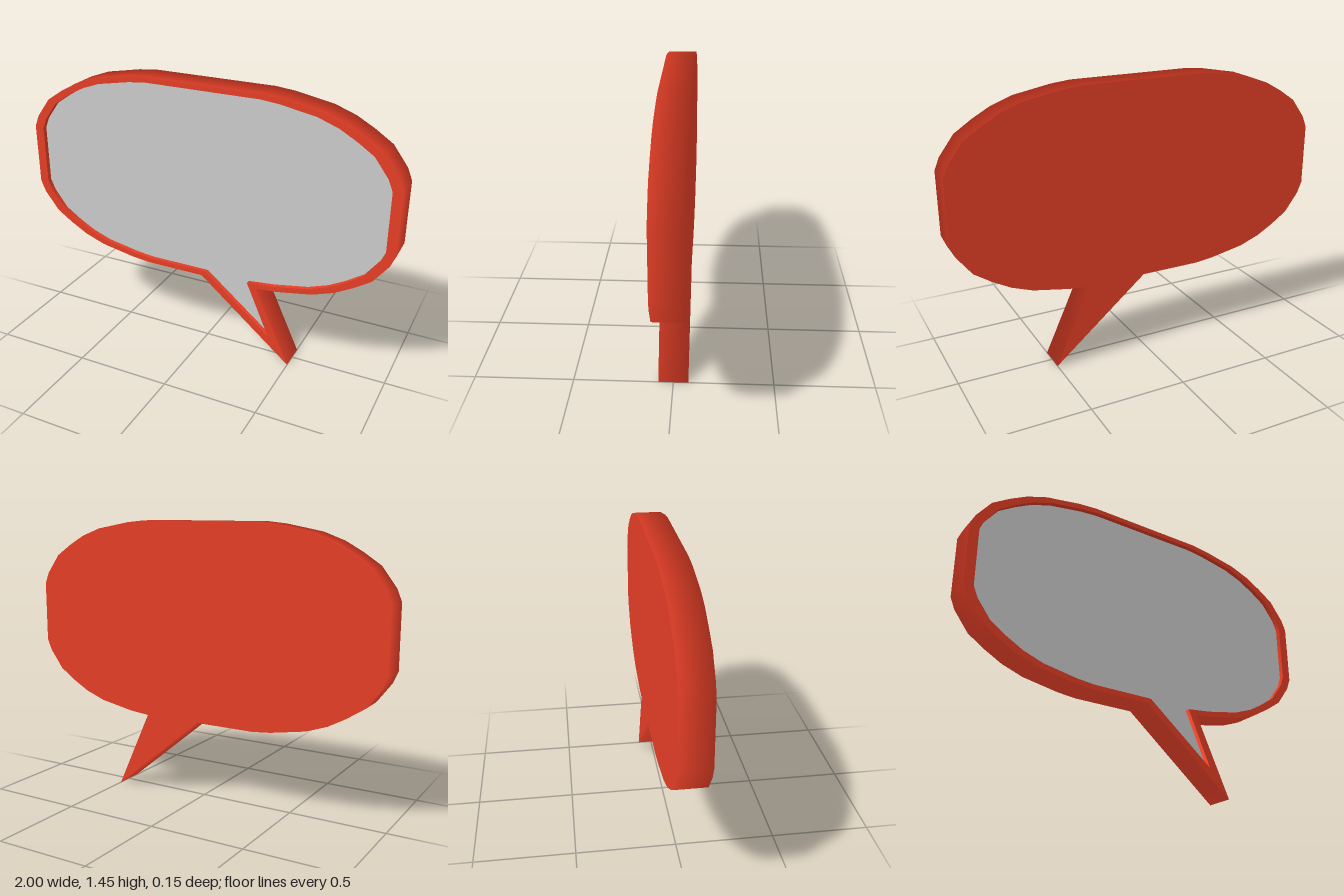
import * as THREE from 'three';
import { mergeGeometries } from 'three/addons/utils/BufferGeometryUtils.js';

const MID = 0.93, HALF_DEPTH = 0.075, RECESS = 0.025;

// One quarter of the rounded bubble, from the side to the top, about its middle
const quarter = [
  [1, 0.16], [0.975, 0.22], [0.9, 0.32], [0.81, 0.38],
  [0.72, 0.43], [0.61, 0.47], [0.42, 0.505], [0.32, 0.515],
];

// Full outline, counter-clockwise, with the pointed tail at the bottom
function outline(scale, tail) {
  const flip = (sx, sy) => quarter.map(([x, y]) => [x * sx * scale, y * sy * scale]);
  return [
    ...flip(1, 1),
    ...flip(-1, 1).reverse(),
    ...flip(-1, -1),
    ...tail,
    ...flip(1, -1).reverse().slice(1),
  ].map(([x, y]) => new THREE.Vector2(x, y + MID));
}

// A loop of points at depth z, its normals mixing outward and z directions
function ring(loop, z, outward, nz) {
  const n = loop.length;
  return loop.map((p, i) => {
    const a = loop[(i + n - 1) % n], b = loop[(i + 1) % n];
    const d1 = p.clone().sub(a).normalize(), d2 = b.clone().sub(p).normalize();
    const t = d1.add(d2).normalize();
    return {
      position: [p.x, p.y, z],
      normal: new THREE.Vector3(t.y * outward, -t.x * outward, nz).normalize().toArray(),
    };
  });
}

function build(vertices, index) {
  const g = new THREE.BufferGeometry();
  for (const key of ['position', 'normal']) {
    g.setAttribute(key, new THREE.Float32BufferAttribute(vertices.flatMap((v) => v[key]), 3));
  }
  g.setIndex(index);
  return g;
}

// Band of quads between two rings
function band(a, b) {
  const n = a.length, index = [];
  for (let i = 0; i < n; i++) {
    const j = (i + 1) % n;
    index.push(i, j, n + j, i, n + j, n + i);
  }
  return build([...a, ...b], index);
}

// Flat cap filling a loop, facing front (1) or back (-1)
function cap(loop, z, facing) {
  const faces = THREE.ShapeUtils.triangulateShape(loop, []);
  const index = faces.flatMap(([a, b, c]) => (facing > 0 ? [a, b, c] : [a, c, b]));
  return build(ring(loop, z, 0, facing), index);
}

export function createModel() {
  const group = new THREE.Group();
  group.name = 'speechBubble';

  const outer = outline(1, [[0, -0.515], [0.5, -0.93], [0.31, -0.515]]);
  const inner = outline(0.95, [[0.025, -0.49], [0.385, -0.785], [0.26, -0.495]]);
  const front = HALF_DEPTH, back = -HALF_DEPTH, floor = HALF_DEPTH - RECESS;

  // Red shell: back, softly shaded side wall, front rim and inner step
  const shell = new THREE.Mesh(
    mergeGeometries([
      cap(outer, back, -1),
      band(ring(outer, back, 0.2, -1), ring(outer, front, 0.2, 1)),
      band(ring(outer, front, 0, 1), ring(inner, front, 0, 1)),
      band(ring(inner, front, -1, 0), ring(inner, floor, -1, 0)),
    ]),
    new THREE.MeshStandardMaterial({ color: 0xe53e26 }),
  );
  shell.name = 'shell';

  // Grey face set slightly behind the rim
  const panel = new THREE.Mesh(
    cap(inner, floor, 1),
    new THREE.MeshStandardMaterial({ color: 0xcccccc }),
  );
  panel.name = 'facePanel';

  group.add(shell, panel);
  return group;
}
